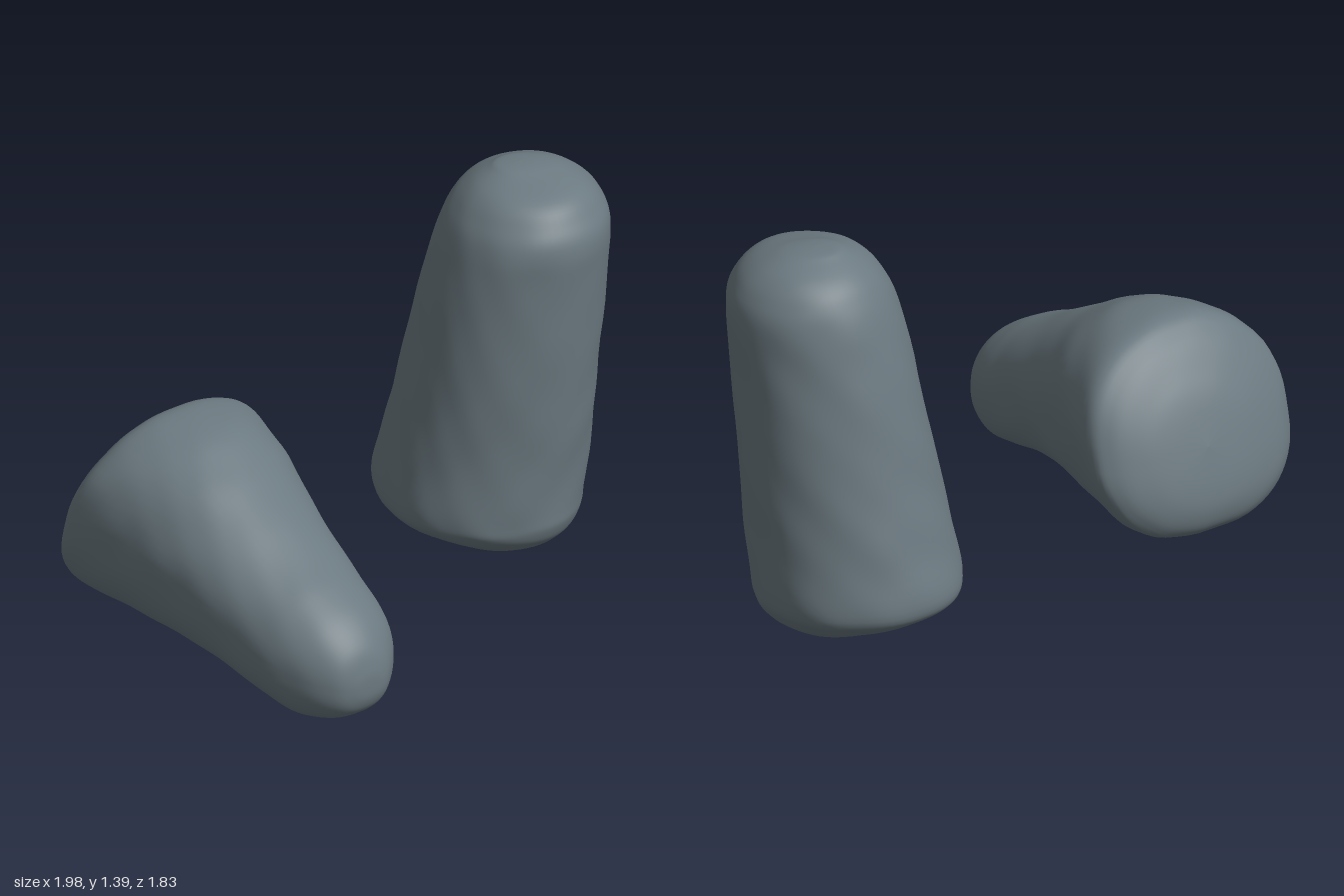
import * as THREE from 'three';

const { clamp, smoothstep } = THREE.MathUtils;

// Catmull-Rom between rows, held within neighbouring values to avoid overshoot
function between(rows, i, f, k) {
  const at = (n) => rows[clamp(n, 0, rows.length - 1)][k];
  const [p0, p1, p2, p3] = [at(i - 1), at(i), at(i + 1), at(i + 2)];
  const v = p1 + 0.5 * f * (p2 - p0 + f * (2 * p0 - 5 * p1 + 4 * p2 - p3 + f * (3 * (p1 - p2) + p3 - p0)));
  return clamp(v, Math.min(p1, p2), Math.max(p1, p2));
}

// Gentle weathering: a sum of slow waves
function weather(x, y, z) {
  return 0.003 * Math.sin(13 * x + 9 * y + 4) * Math.sin(11 * z - 7 * y)
    + 0.002 * Math.sin(27 * y + 17 * x) * Math.sin(23 * z + 19 * x + 2);
}

// Loft rows of [along axis, uMin, uMax, vMin, vMax]; place() maps (u, v, w) to a point
function stone(name, material, rows, power, place) {
  const sides = 64, steps = 6, pos = [], index = [];
  const rings = (rows.length - 1) * steps;
  for (let r = 0; r <= rings; r++) {
    const i = Math.min(Math.floor(r / steps), rows.length - 2);
    const [w, u0, u1, v0, v1] = [0, 1, 2, 3, 4].map((k) => between(rows, i, r / steps - i, k));
    for (let j = 0; j < sides; j++) {
      const a = (j / sides) * Math.PI * 2, c = Math.cos(a), s = Math.sin(a);
      const e = 2 / (s < 0 ? power : 2.1);
      const du = Math.sign(c) * Math.abs(c) ** e * (u1 - u0) / 2;
      const dv = Math.sign(s) * Math.abs(s) ** e * (v1 - v0) / 2;
      const bump = 1 + weather(du, dv, w) / 0.35;
      const p = place((u0 + u1) / 2 + du * bump, (v0 + v1) / 2 + dv * bump, w);
      pos.push(p[0], Math.max(0, p[1]), p[2]);
      if (r < rings) {
        const n = (j + 1) % sides, A = r * sides + j, B = r * sides + n;
        index.push(A, B, A + sides, B, B + sides, A + sides);
      }
    }
  }
  const geo = new THREE.BufferGeometry();
  geo.setAttribute('position', new THREE.Float32BufferAttribute(pos, 3));
  geo.setIndex(index);
  geo.computeVertexNormals();
  const mesh = new THREE.Mesh(geo, material);
  mesh.name = name;
  return mesh;
}

export function createModel() {
  const group = new THREE.Group();
  group.name = 'twoStones';
  const slate = new THREE.MeshStandardMaterial({ color: 0x6b7980 });
  slate.name = 'slateGrey';

  // Upright stone: rows of [y, zMin, zMax, xMin, xMax]
  const upright = [
    [0, -0.5, -0.5, 0.63, 0.63],
    [0.005, -0.68, -0.3, 0.47, 0.8],
    [0.045, -0.77, -0.22, 0.36, 0.87],
    [0.1, -0.86, -0.175, 0.25, 0.91],
    [0.17, -0.92, -0.165, 0.205, 0.925],
    [0.35, -0.89, -0.16, 0.24, 0.94],
    [0.6, -0.85, -0.15, 0.29, 0.96],
    [1.0, -0.78, -0.14, 0.37, 0.985],
    [1.18, -0.745, -0.145, 0.42, 0.997],
    [1.27, -0.705, -0.19, 0.465, 0.965],
    [1.33, -0.65, -0.25, 0.52, 0.91],
    [1.37, -0.57, -0.37, 0.585, 0.83],
    [1.385, -0.53, -0.42, 0.62, 0.76],
    [1.39, -0.47, -0.47, 0.69, 0.69],
  ];
  group.add(stone('uprightStone', slate, upright, 2.1, (u, v, w) => [v, w, u]));

  // Fallen stone: rows of [along, sideMin, sideMax, yMin, yMax], broad end first
  const fallen = [
    [-0.585, -0.45, -0.45, 0.43, 0.43],
    [-0.575, -0.6, -0.32, 0.29, 0.57],
    [-0.55, -0.71, -0.21, 0.2, 0.66],
    [-0.5, -0.83, -0.11, 0.13, 0.76],
    [-0.42, -0.88, -0.068, 0.095, 0.81],
    [-0.2, -0.855, -0.12, 0.087, 0.775],
    [0, -0.835, -0.175, 0.083, 0.7],
    [0.217, -0.805, -0.23, 0.07, 0.595],
    [0.4, -0.775, -0.257, 0.02, 0.5],
    [0.51, -0.75, -0.275, 0.002, 0.445],
    [0.61, -0.705, -0.32, 0.02, 0.38],
    [0.685, -0.645, -0.395, 0.06, 0.3],
    [0.715, -0.58, -0.45, 0.11, 0.22],
    [0.72, -0.52, -0.52, 0.165, 0.165],
  ];
  // The broad end leans, so shear it along the axis, fading toward the tip
  group.add(stone('fallenStone', slate, fallen, 2.5, (u, v, w) => {
    const s = w + 0.34 * (v - 0.43) * (1 - smoothstep(w, -0.4, 0.5));
    return [0.88 * u + 0.47 * s, v, -0.47 * u + 0.88 * s];
  }));
  return group;
}
